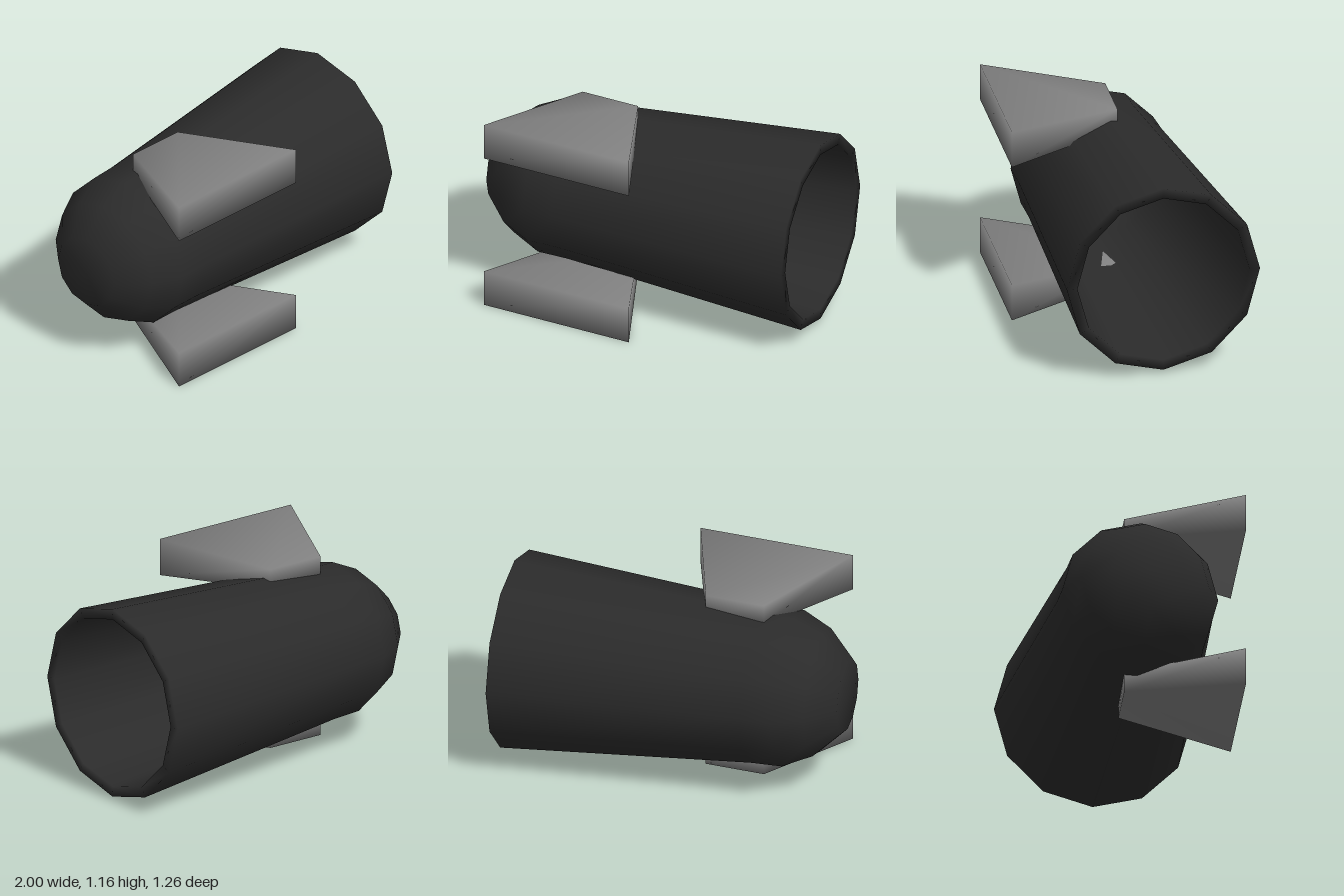
import * as THREE from 'three';
import { mergeVertices } from 'three/addons/utils/BufferGeometryUtils.js';

const bodyMaterial = new THREE.MeshStandardMaterial({ color: 0x2b2b2b });
const finMaterial = new THREE.MeshStandardMaterial({ color: 0x808080 });

// Hollow twelve-sided cup: down the inner wall, over the rim, up to the domed end
function createShell() {
  const profile = [
    [0, 1.9], [0.18, 1.9], [0.32, 1.76], [0.395, 1.61], [0.4, 1.45], [0.5, 0],
    [0.561, 0], [0.447, 1.45], [0.443, 1.63], [0.362, 1.8], [0.21, 1.95], [0, 1.95],
  ].map(([r, t]) => new THREE.Vector2(r, t));
  const geometry = new THREE.LatheGeometry(profile, 12);
  geometry.rotateZ(Math.PI / 2);
  geometry.rotateY(0.07);
  const shell = new THREE.Mesh(geometry, bodyMaterial);
  shell.name = 'shell';
  shell.position.set(0.96, 0.585, -0.07);
  return shell;
}

// Softly shaded wedge, wide at the front and narrow where it enters the shell
function createFin(name, y) {
  const box = new THREE.BoxGeometry(1, 1, 1);
  box.deleteAttribute('normal');
  box.deleteAttribute('uv');
  const geometry = mergeVertices(box);
  const p = geometry.attributes.position;
  for (let i = 0; i < p.count; i++) {
    const front = p.getZ(i) > 0;
    p.setXYZ(
      i,
      p.getX(i) * (front ? 0.915 : 0.35),
      p.getY(i) * (front ? 0.216 : 0.12),
      front ? 0.627 : -0.033
    );
  }
  geometry.computeVertexNormals();
  const fin = new THREE.Mesh(geometry, finMaterial);
  fin.name = name;
  fin.position.set(-0.347, y, 0);
  return fin;
}

export function createModel() {
  const model = new THREE.Group();
  model.name = 'finnedCup';
  model.add(createShell(), createFin('upperFin', 1.058), createFin('lowerFin', 0.11));
  return model;
}
